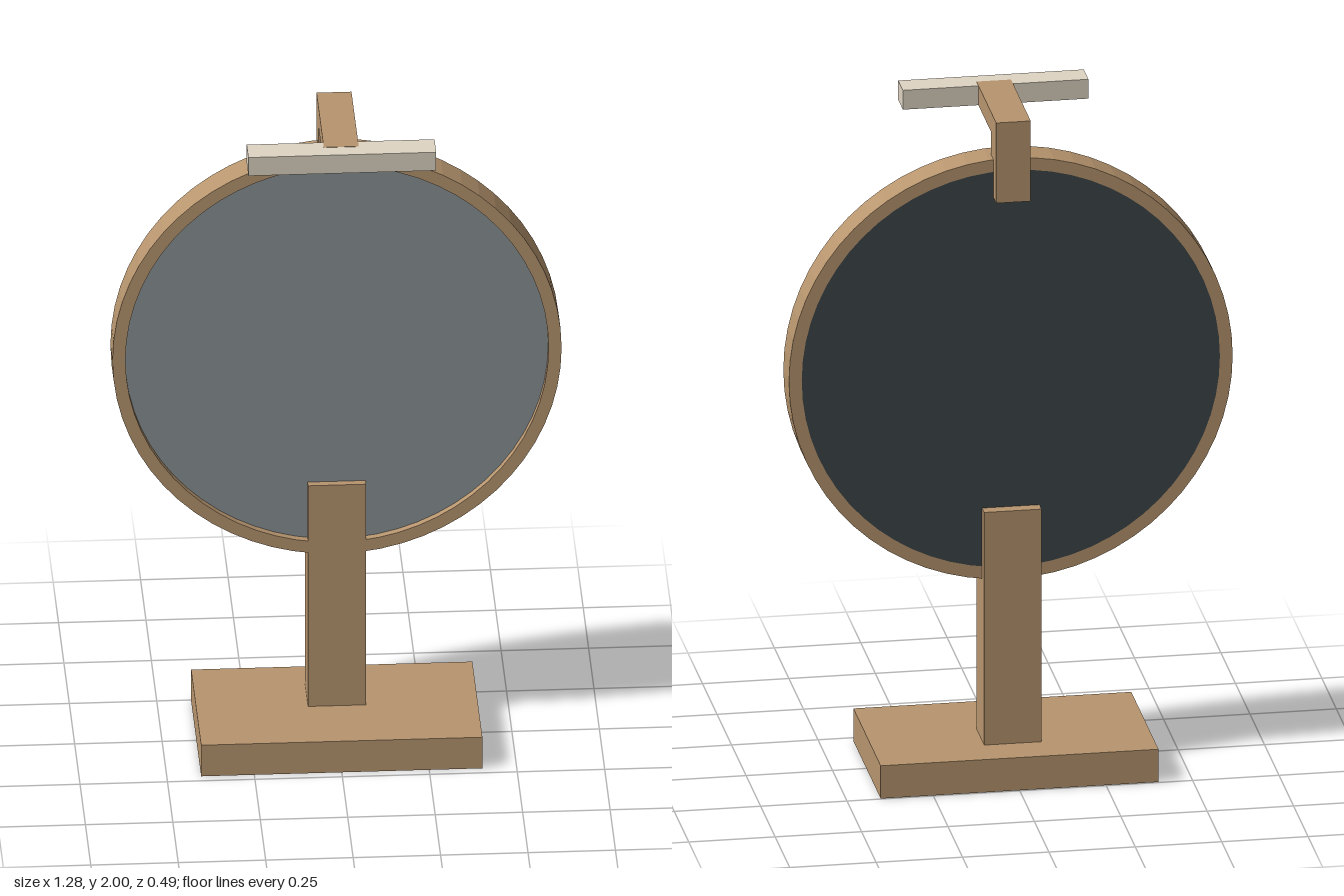
import * as THREE from 'three';

const mat = (name, color) => {
  const m = new THREE.MeshStandardMaterial({ color });
  m.name = name;
  return m;
};

export function createModel() {
  const wood = mat('wood', 0xb8966f);
  const glass = mat('mirror glass', 0x8b9497);
  const backing = mat('dark backing', 0x3e454a);
  const lamp = mat('lamp cream', 0xe0d6c4);

  const model = new THREE.Group();
  model.name = 'standingMirror';

  const add = (name, geometry, material) => {
    const mesh = new THREE.Mesh(geometry, material);
    mesh.name = name;
    model.add(mesh);
    return mesh;
  };
  // Box given by its width (centred on x) and its y and z ranges
  const box = (name, width, y0, y1, z0, z1, material) =>
    add(name, new THREE.BoxGeometry(width, y1 - y0, z1 - z0), material)
      .position.set(0, (y0 + y1) / 2, (z0 + z1) / 2);

  // Stand
  box('base', 0.804, 0, 0.1, -0.246, 0.222, wood);
  box('post', 0.166, 0.1, 0.81, -0.131, 0.002, wood);

  // Round frame
  const centreY = 1.231, outer = 0.642, inner = 0.605, depth = 0.097;
  const ring = new THREE.Shape().absarc(0, 0, outer, 0, Math.PI * 2);
  ring.holes.push(new THREE.Path().absarc(0, 0, inner, 0, Math.PI * 2, true));
  const frame = new THREE.ExtrudeGeometry(ring, { depth, bevelEnabled: false, curveSegments: 32 });
  add('frame', frame, wood).position.set(0, centreY, -depth + 0.002);

  // Mirror disc: glass in front, slightly recessed, dark backing behind
  const disc = new THREE.CylinderGeometry(inner, inner, 0.074, 64).rotateX(Math.PI / 2);
  add('mirror', disc, [backing, glass, backing]).position.set(0, centreY, -0.058);

  // Bracket rising behind the frame and reaching forward to the lamp
  box('bracketUpright', 0.1, 1.755, 1.94, -0.14, -0.055, wood);
  box('bracketArm', 0.1, 1.94, 2, -0.14, 0.198, wood);
  box('lampBar', 0.537, 1.94, 1.999, 0.166, 0.246, lamp);

  return model;
}
